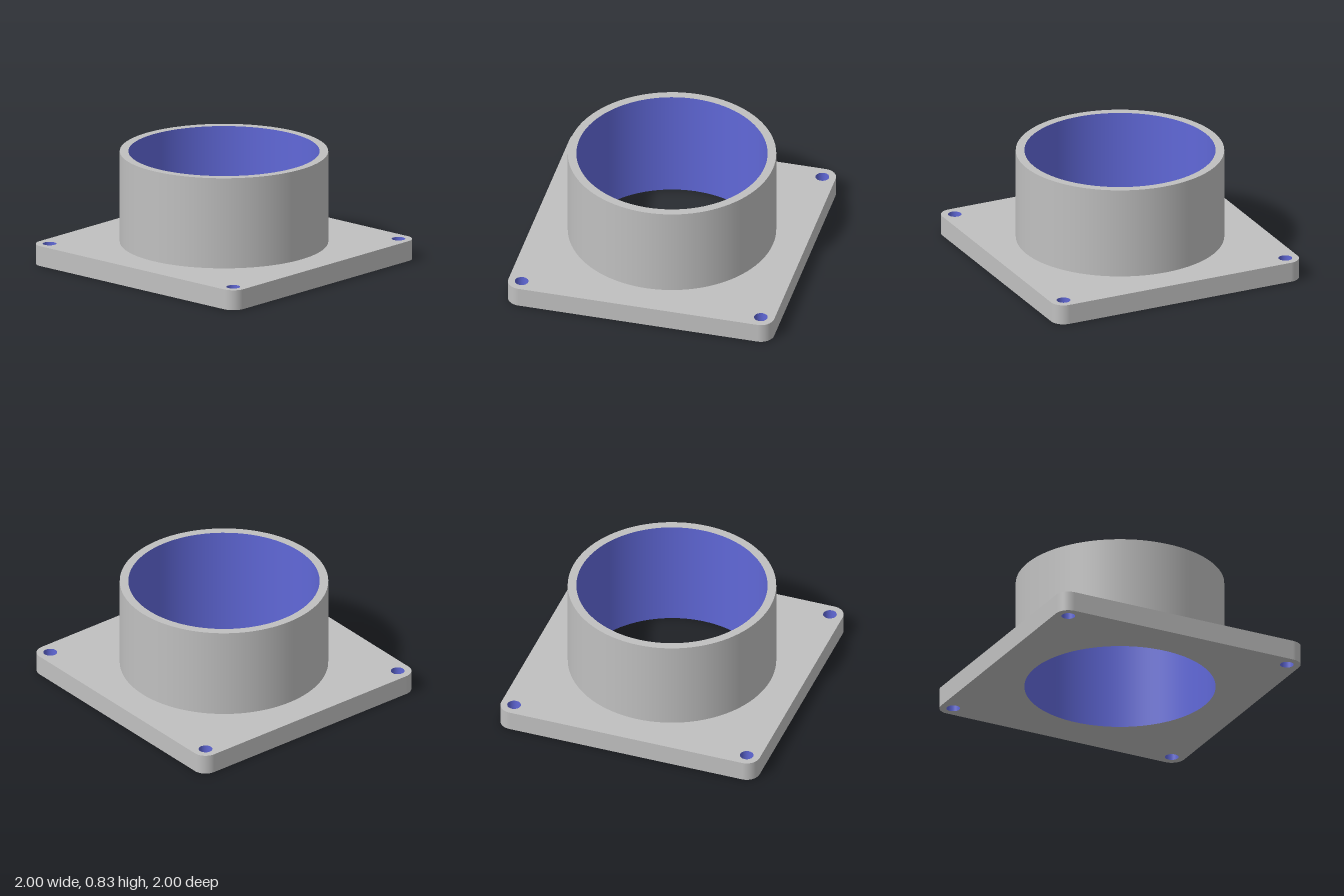
import * as THREE from 'three';

const SEG = 96;
const FLANGE_H = 0.15, TOP = 0.83;
const R_OUT = 0.76, R_IN = 0.697;
const CORNER = 0.1, HOLE_R = 0.05, HOLE_POS = 0.9;
const CORNERS = [[1, 1], [-1, 1], [-1, -1], [1, -1]];

// Lathe through [radius, y] points: upward faces outward, downward faces inward
const turned = (...pts) =>
  new THREE.LatheGeometry(pts.map(([r, y]) => new THREE.Vector2(r, y)), SEG);

// Rounded square face with a centre opening and four bolt holes
function flangeFace(openingRadius) {
  const c = 1 - CORNER;
  const shape = new THREE.Shape();
  CORNERS.forEach(([sx, sy], k) =>
    shape.absarc(sx * c, sy * c, CORNER, k * Math.PI / 2, (k + 1) * Math.PI / 2, false));
  const addHole = (x, y, r) =>
    shape.holes.push(new THREE.Path().absarc(x, y, r, 0, Math.PI * 2, true));
  addHole(0, 0, openingRadius);
  CORNERS.forEach(([sx, sy]) => addHole(sx * HOLE_POS, sy * HOLE_POS, HOLE_R));
  return new THREE.ShapeGeometry(shape, SEG / 2);
}

// Smooth outer wall following the rounded square
function flangeWall() {
  const pos = [], nor = [], idx = [], n = 16, c = 1 - CORNER;
  CORNERS.forEach(([sx, sz], k) => {
    for (let i = 0; i <= n; i++) {
      const a = (k + i / n) * Math.PI / 2, nx = Math.cos(a), nz = Math.sin(a);
      for (const y of [0, FLANGE_H]) {
        pos.push(sx * c + nx * CORNER, y, sz * c + nz * CORNER);
        nor.push(nx, 0, nz);
      }
    }
  });
  const count = pos.length / 6;
  for (let i = 0; i < count; i++) {
    const a = i * 2, b = ((i + 1) % count) * 2;
    idx.push(a, a + 1, b, b, a + 1, b + 1);
  }
  const geo = new THREE.BufferGeometry();
  geo.setAttribute('position', new THREE.Float32BufferAttribute(pos, 3));
  geo.setAttribute('normal', new THREE.Float32BufferAttribute(nor, 3));
  geo.setIndex(idx);
  return geo;
}

export function createModel() {
  const grey = new THREE.MeshStandardMaterial({ color: 0xc0c0c0 });
  grey.name = 'greyBody';
  const blue = new THREE.MeshStandardMaterial({ color: 0x6068d8 });
  blue.name = 'blueBore';

  const model = new THREE.Group();
  model.name = 'flangedCollar';
  const add = (parent, name, geo, mat) => {
    const mesh = new THREE.Mesh(geo, mat);
    mesh.name = name;
    parent.add(mesh);
    return mesh;
  };

  // Square mounting flange
  const flange = new THREE.Group();
  flange.name = 'flange';
  model.add(flange);
  add(flange, 'flangeTop',
    flangeFace(R_OUT).rotateX(-Math.PI / 2).translate(0, FLANGE_H, 0), grey);
  add(flange, 'flangeBottom', flangeFace(R_IN).rotateX(Math.PI / 2), grey);
  add(flange, 'flangeEdge', flangeWall(), grey);
  CORNERS.forEach(([sx, sz], i) => {
    add(flange, `boltHole${i + 1}`, turned([HOLE_R, FLANGE_H], [HOLE_R, 0]), blue)
      .position.set(sx * HOLE_POS, 0, sz * HOLE_POS);
  });

  // Round collar with a through bore
  const collar = new THREE.Group();
  collar.name = 'collar';
  model.add(collar);
  add(collar, 'collarOuterWall', turned([R_OUT, FLANGE_H], [R_OUT, TOP]), grey);
  add(collar, 'collarRim', turned([R_OUT, TOP], [R_IN, TOP]), grey);
  add(collar, 'collarBore', turned([R_IN, TOP], [R_IN, 0]), blue);

  return model;
}
